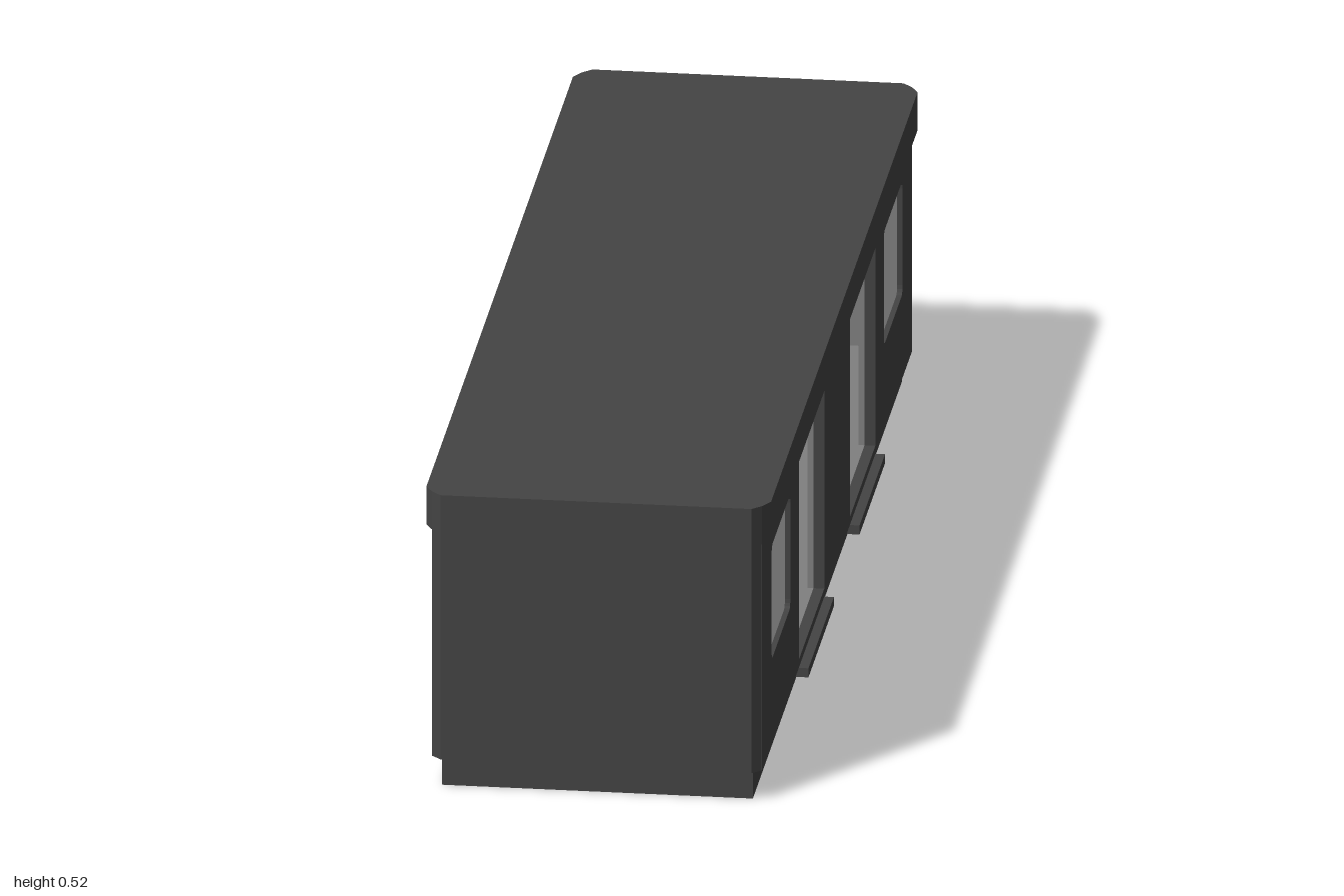
import * as THREE from 'three';

const dark = new THREE.MeshStandardMaterial({ color: 0x444444 });
const lining = new THREE.MeshStandardMaterial({ color: 0x808080 });
const glass = new THREE.MeshStandardMaterial({ color: 0xcccccc });

const BASE = 0.052, EAVE = 0.45, TOP = 0.517;
const DOORS = [[-0.503, -0.168], [0.168, 0.503]];
const WINDOW_Z = 0.737, WINDOW_Y = 0.3;

const polygon = (pts) => new THREE.Shape(pts.map(([x, y]) => new THREE.Vector2(x, y)));

function roundedRect(path, cx, cy, w, h, r) {
  const x = cx - w / 2, y = cy - h / 2;
  path.moveTo(x + r, y);
  path.lineTo(x + w - r, y);
  path.quadraticCurveTo(x + w, y, x + w, y + r);
  path.lineTo(x + w, y + h - r);
  path.quadraticCurveTo(x + w, y + h, x + w - r, y + h);
  path.lineTo(x + r, y + h);
  path.quadraticCurveTo(x, y + h, x, y + h - r);
  path.lineTo(x, y + r);
  path.quadraticCurveTo(x, y, x + r, y);
  return path;
}

// Extrudes a shape along its local z between two depths
function slab(name, shape, from, to, material) {
  const geo = new THREE.ExtrudeGeometry(shape, { depth: to - from, bevelEnabled: false, curveSegments: 4 });
  geo.translate(0, 0, from);
  const mesh = new THREE.Mesh(geo, material);
  mesh.name = name;
  return mesh;
}

// Extrudes a floor plan upwards between two heights
function plan(name, shape, y0, y1, material) {
  const mesh = slab(name, shape, y0, y1, material);
  mesh.rotation.x = -Math.PI / 2;
  return mesh;
}

function box(name, w, h, d, x, y, z, material) {
  const mesh = new THREE.Mesh(new THREE.BoxGeometry(w, h, d), material);
  mesh.name = name;
  mesh.position.set(x, y, z);
  return mesh;
}

// Side wall outline with door notches open to the eaves and two window holes
function sideShape(halfLength) {
  const pts = [[-halfLength, BASE], [halfLength, BASE], [halfLength, EAVE]];
  for (const [a, b] of [...DOORS].reverse()) {
    pts.push([b, EAVE], [b, 0.066], [a, 0.066], [a, EAVE]);
  }
  pts.push([-halfLength, EAVE]);
  const shape = polygon(pts);
  for (const s of [-1, 1]) {
    shape.holes.push(roundedRect(new THREE.Path(), s * WINDOW_Z, WINDOW_Y, 0.245, 0.2, 0.015));
  }
  return shape;
}

function sideWall(name) {
  const g = new THREE.Group();
  g.name = name;
  g.add(slab('outerSkin', sideShape(0.985), 0.256, 0.274, dark));
  g.add(slab('innerLining', sideShape(0.97), 0.246, 0.256, lining));
  for (const s of [-1, 1]) {
    g.add(box('sideWindow', 0.25, 0.205, 0.006, s * WINDOW_Z, WINDOW_Y, 0.262, glass));
  }
  // Door steps
  for (const [a, b] of DOORS) {
    g.add(box('doorStep', b - a, 0.016, 0.04, (a + b) / 2, 0.044, 0.27, dark));
  }
  return g;
}

function endWall(name, hasWindow) {
  const g = new THREE.Group();
  g.name = name;
  const panel = (halfWidth) => {
    const s = polygon([[-halfWidth, BASE], [halfWidth, BASE], [halfWidth, EAVE], [-halfWidth, EAVE]]);
    if (hasWindow) s.holes.push(roundedRect(new THREE.Path(), 0, WINDOW_Y, 0.265, 0.21, 0.02));
    return s;
  };
  g.add(slab('outerSkin', panel(0.258), 0.97, 1, dark));
  g.add(slab('innerLining', panel(0.25), 0.962, 0.97, lining));
  if (hasWindow) g.add(box('endWindow', 0.27, 0.215, 0.006, 0, WINDOW_Y, 0.975, glass));
  // Chamfered corner posts
  for (const s of [-1, 1]) {
    const pts = [[s * 0.258, -0.97], [s * 0.258, -1], [s * 0.274, -0.984], [s * 0.274, -0.97]];
    g.add(plan('cornerPost', polygon(pts), BASE, EAVE, dark));
  }
  return g;
}

export function createModel() {
  const model = new THREE.Group();
  model.name = 'railCarBody';

  // Underframe with a recessed underside
  const frame = polygon([[-0.258, -0.98], [0.258, -0.98], [0.258, 0.98], [-0.258, 0.98]]);
  frame.holes.push(new THREE.Path([[-0.2, -0.92], [-0.2, 0.92], [0.2, 0.92], [0.2, -0.92]]
    .map(([x, y]) => new THREE.Vector2(x, y))));
  model.add(plan('underframe', frame, 0, BASE, dark));
  model.add(box('floorUnderside', 0.5, 0.012, 1.93, 0, 0.046, 0, dark));
  model.add(box('floor', 0.512, 0.014, 1.94, 0, 0.059, 0, lining));

  // Walls
  const left = sideWall('leftWall');
  left.rotation.y = Math.PI / 2;
  const right = sideWall('rightWall');
  right.rotation.y = -Math.PI / 2;
  const back = endWall('backWall', true);
  back.rotation.y = Math.PI;
  model.add(left, right, endWall('frontWall', false), back);

  // Roof with an overhanging edge band and chamfered corners
  const corner = [[0.286, 0.962], [0.274, 0.984], [0.258, 1]];
  const flip = (sx, sz) => corner.map(([x, z]) => [x * sx, z * sz]);
  const roof = polygon([
    ...flip(1, 1), ...flip(-1, 1).reverse(), ...flip(-1, -1), ...flip(1, -1).reverse(),
  ]);
  model.add(plan('roof', roof, EAVE, TOP, dark));
  model.add(box('ceiling', 0.5, 0.004, 1.93, 0, EAVE - 0.001, 0, lining));

  return model;
}
